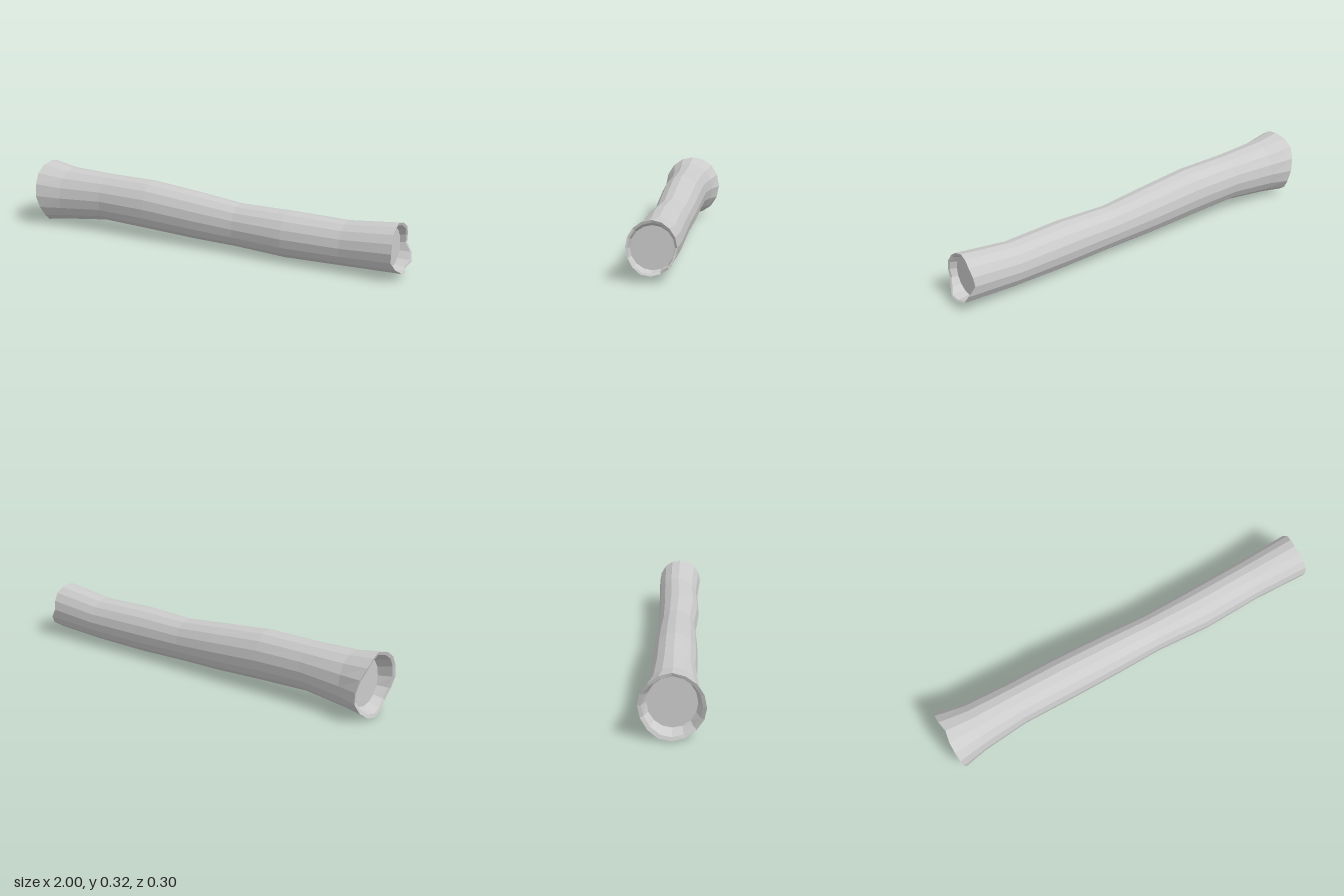
import * as THREE from 'three';

const SIDES = 16;

// Ring around the x axis: top, bottom, back and front extents; jag shifts each corner along x
function ring(x, top, bottom, back, front, jag) {
  const points = [];
  for (let i = 0; i < SIDES; i++) {
    const a = (i / SIDES) * Math.PI * 2;
    points.push([
      x + (jag ? jag[i] : 0),
      (top + bottom) / 2 + ((top - bottom) / 2) * Math.cos(a),
      (back + front) / 2 + ((front - back) / 2) * Math.sin(a),
    ]);
  }
  return points;
}

// Joins consecutive rings with quads
function loft(name, rings, material) {
  const index = [];
  for (let r = 0; r < rings.length - 1; r++) {
    for (let i = 0; i < SIDES; i++) {
      const j = (i + 1) % SIDES;
      const a = r * SIDES + i, b = r * SIDES + j;
      index.push(a, b, a + SIDES, b, b + SIDES, a + SIDES);
    }
  }
  const geometry = new THREE.BufferGeometry();
  geometry.setAttribute('position', new THREE.Float32BufferAttribute(rings.flat(2), 3));
  geometry.setIndex(index);
  geometry.computeVertexNormals();
  const mesh = new THREE.Mesh(geometry, material);
  mesh.name = name;
  return mesh;
}

export function createModel() {
  const log = new THREE.Group();
  log.name = 'log';
  const wood = new THREE.MeshStandardMaterial({ color: 0xcccccc, flatShading: true });

  // Broken edges, listed from the top towards the front
  const leftJag = [-0.01, -0.02, -0.02, -0.015, -0.01, 0.005, 0.015, 0.005,
    -0.005, -0.005, 0.01, 0.02, 0.01, -0.005, -0.02, -0.02];
  const rightJag = [-0.01, -0.005, -0.005, 0, 0, -0.005, 0.01, 0.03,
    0.025, 0.01, 0.03, 0.02, -0.01, -0.005, 0, -0.005];

  const leftRim = ring(-0.98, 0.316, 0, -0.15, 0.15, leftJag);
  const leftLip = ring(-0.975, 0.3, 0.018, -0.133, 0.133, leftJag);
  const leftInner = ring(-0.92, 0.275, 0.038, -0.112, 0.112);
  const rightRim = ring(0.97, 0.265, 0.027, -0.113, 0.109, rightJag);
  const rightLip = ring(0.965, 0.252, 0.036, -0.105, 0.1, rightJag);
  const rightInner = ring(0.93, 0.238, 0.042, -0.1, 0.094);

  // Trunk, gently bent and flared at both ends
  log.add(loft('bark', [
    leftRim,
    ring(-0.86, 0.295, 0.018, -0.12, 0.125),
    ring(-0.63, 0.288, 0.046, -0.106, 0.105),
    ring(-0.37, 0.288, 0.037, -0.106, 0.106),
    ring(-0.1, 0.263, 0.026, -0.103, 0.1),
    ring(0.13, 0.239, 0.022, -0.095, 0.091),
    ring(0.4, 0.243, 0.012, -0.1, 0.106),
    ring(0.7, 0.237, 0.017, -0.107, 0.096),
    rightRim,
  ], wood));

  // Raised broken lips around the end faces
  log.add(loft('leftLip', [leftInner, leftLip, leftRim], wood));
  log.add(loft('rightLip', [rightRim, rightLip, rightInner], wood));

  // Recessed end grain
  log.add(loft('leftEndGrain', [ring(-0.92, 0.157, 0.157, 0, 0), leftInner], wood));
  log.add(loft('rightEndGrain', [rightInner, ring(0.93, 0.14, 0.14, -0.003, -0.003)], wood));

  return log;
}
